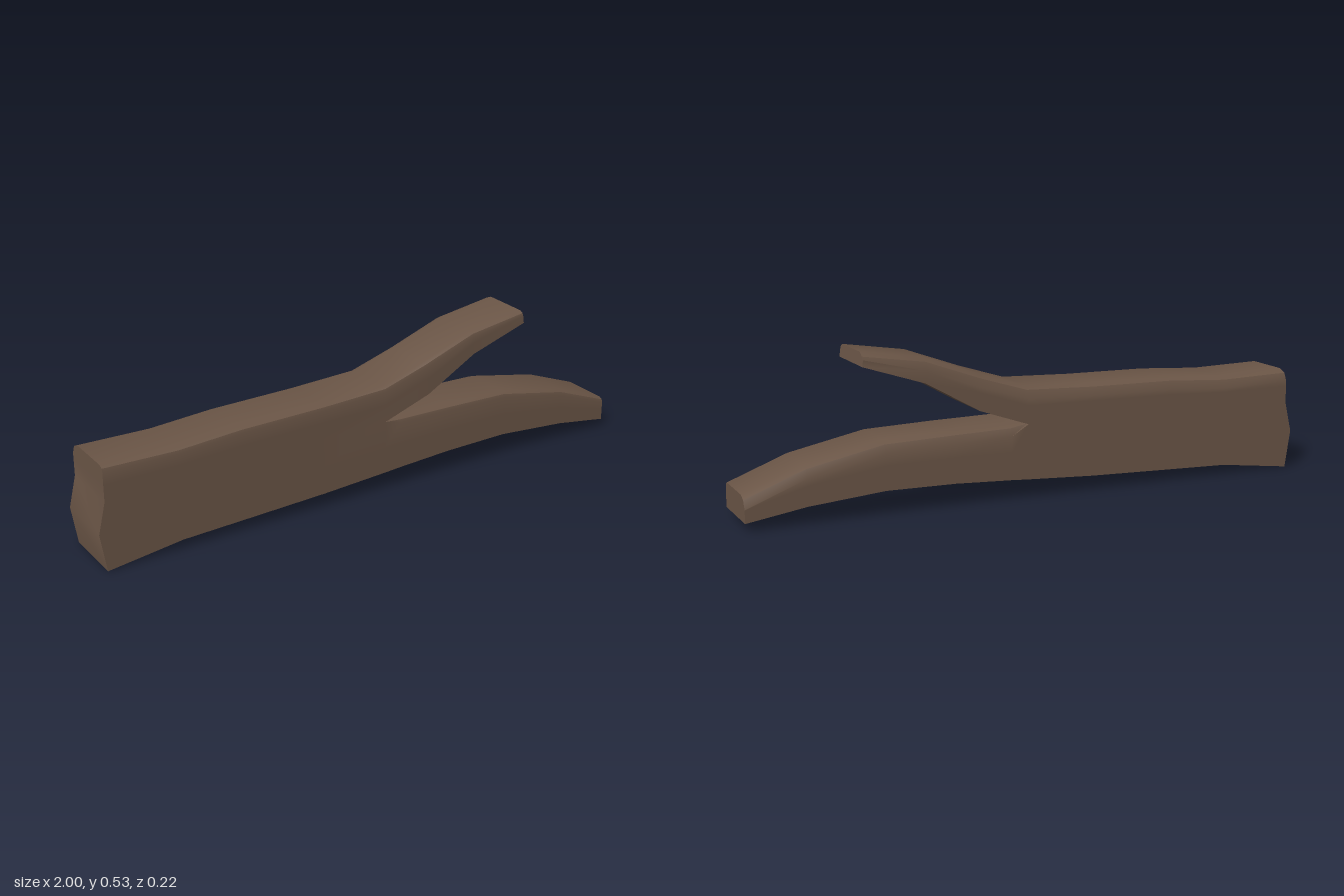
import * as THREE from 'three';
import { mergeGeometries, toCreasedNormals } from 'three/addons/utils/BufferGeometryUtils.js';

// Rounded top edges of a section: [z, drop below the top]
const TOP = [[0.11, 0.018], [0.107, 0.007], [0.095, 0], [-0.07, 0], [-0.097, 0.012], [-0.11, 0.04]];
const HALF = 0.11;

// One cross-section ring: up the front side, over the top, down the back side
function section([bx, by, tx, ty, bevel, mid]) {
  const at = (t, z) => [bx + (tx - bx) * t, by + (ty - by) * t, z];
  const side = (z) => (mid ? [mid[0], mid[1], z] : at(0.5, z));
  const height = ty - by;
  return [
    at(0, HALF), side(HALF),
    ...TOP.map(([z, drop]) => at(1 - (bevel * drop) / height, z)),
    side(-HALF), at(0, -HALF),
  ];
}

// Joins sections along x and closes both ends; skip(i, j) leaves out inner faces
function loft(stations, skip) {
  const rings = stations.map(section);
  const n = rings[0].length;
  const pos = [];
  const quad = (a, b, c, d) => [a, b, c, a, c, d].forEach((p) => pos.push(...p));
  for (let i = 0; i < rings.length - 1; i++) {
    for (let j = 0; j < n; j++) {
      if (skip(i, j)) continue;
      const k = (j + 1) % n;
      quad(rings[i][j], rings[i + 1][j], rings[i + 1][k], rings[i][k]);
    }
  }
  const first = rings[0], last = rings[rings.length - 1];
  for (let j = 0; j < n / 2 - 1; j++) {
    quad(first[j], first[j + 1], first[n - 2 - j], first[n - 1 - j]);
    quad(last[n - 1 - j], last[n - 2 - j], last[j + 1], last[j]);
  }
  const g = new THREE.BufferGeometry();
  g.setAttribute('position', new THREE.Float32BufferAttribute(pos, 3));
  return g;
}

export function createModel() {
  const group = new THREE.Group();
  group.name = 'forkedLog';

  // Stations: bottom x, bottom y, top x, top y, bevel amount, optional side point
  // Lower half of the trunk, running on into the drooping limb
  const lower = loft([
    [-0.98, 0, -0.975, 0.235, 0, [-1, 0.13]],
    [-0.72, 0.033, -0.72, 0.24, 0],
    [-0.5, 0.04, -0.5, 0.245, 0],
    [-0.2, 0.05, -0.2, 0.25, 0],
    [0.04, 0.063, 0.04, 0.25, 0],
    [0.1, 0.067, 0.1, 0.25, 0.9],
    [0.3, 0.077, 0.3, 0.247, 1],
    [0.54, 0.08, 0.54, 0.24, 1],
    [0.8, 0.058, 0.8, 0.187, 1],
    [1, 0.027, 1, 0.111, 1],
  ], (i, j) => i < 4 && j >= 2 && j <= 6);

  // Upper half of the trunk, running on into the rising branch
  const upper = loft([
    [-0.975, 0.235, -0.975, 0.353, 1],
    [-0.72, 0.24, -0.72, 0.348, 1],
    [-0.5, 0.245, -0.5, 0.362, 1],
    [-0.2, 0.25, -0.2, 0.366, 1],
    [0.04, 0.25, 0.04, 0.375, 1],
    [0.215, 0.31, 0.2, 0.425, 1],
    [0.4, 0.415, 0.395, 0.495, 1],
    [0.612, 0.484, 0.606, 0.527, 1],
  ], (i, j) => i < 4 && j === 9);

  const bark = new THREE.MeshStandardMaterial({ color: 0x6a5546 });
  const log = new THREE.Mesh(toCreasedNormals(mergeGeometries([lower, upper]), 0.6), bark);
  log.name = 'trunkAndBranches';
  group.add(log);
  return group;
}
